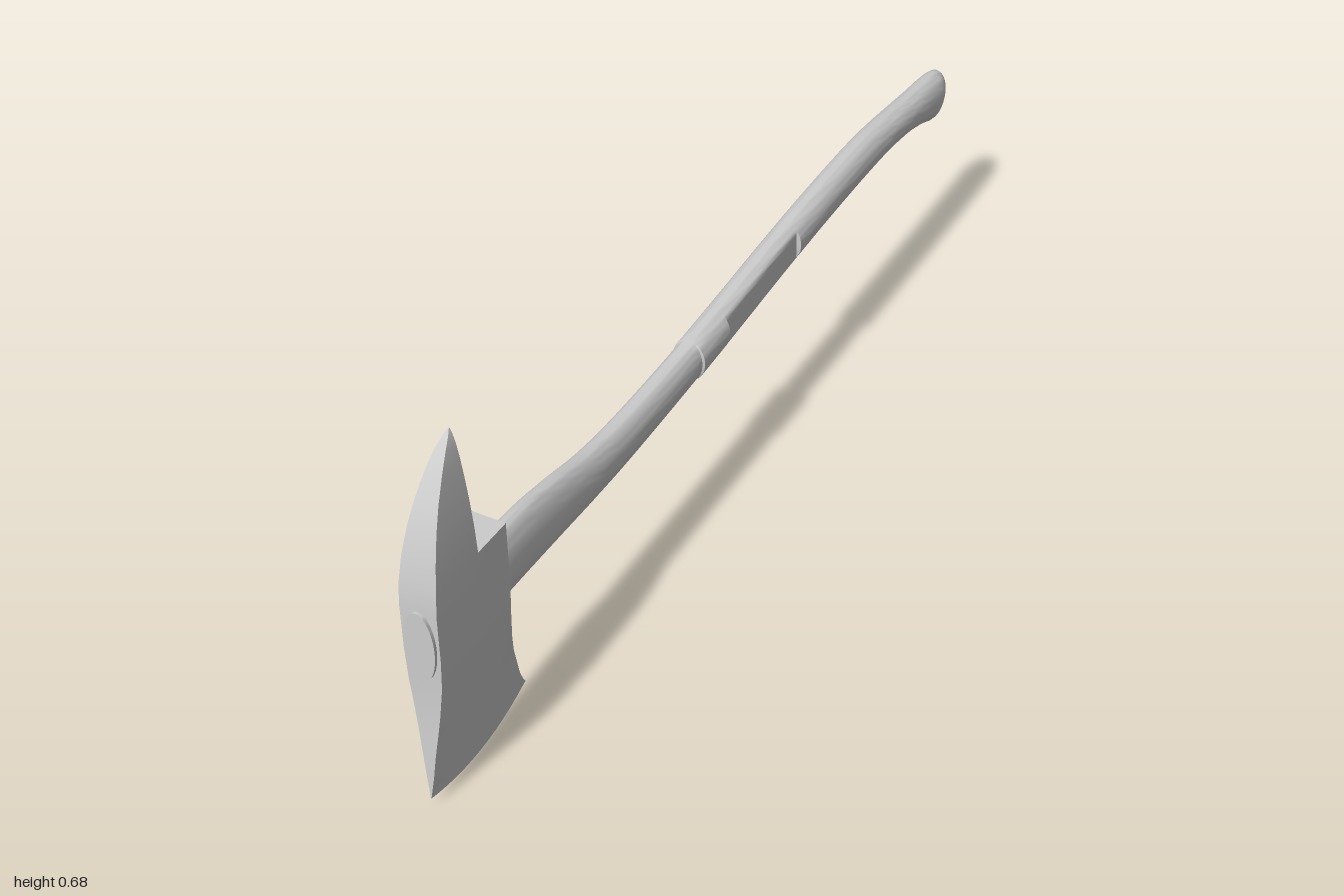
import * as THREE from 'three';
import { toCreasedNormals } from 'three/addons/utils/BufferGeometryUtils.js';

const material = new THREE.MeshStandardMaterial({ color: 0xcccccc });

// Skins a list of equal-length closed rings and caps both ends.
function loft(rings, crease) {
  const n = rings[0].length;
  const last = rings.length - 1;
  const points = rings.flat();
  const index = [];
  for (let r = 0; r < last; r++) {
    for (let i = 0; i < n; i++) {
      const a = r * n + i, b = r * n + (i + 1) % n;
      index.push(a, b, b + n, a, b + n, a + n);
    }
  }
  for (const r of [0, last]) {
    const centre = new THREE.Vector3();
    rings[r].forEach((p) => centre.addScaledVector(p, 1 / n));
    const c = points.push(centre) - 1;
    for (let i = 0; i < n; i++) {
      const a = r * n + i, b = r * n + (i + 1) % n;
      if (r === 0) index.push(c, b, a);
      else index.push(c, a, b);
    }
  }
  const geometry = new THREE.BufferGeometry().setFromPoints(points);
  geometry.setIndex(index);
  return toCreasedNormals(geometry, crease);
}

function createHead() {
  // Levels from cutting edge to pick tip: y, front z, back z, half thickness
  const levels = [
    [0, 1.0, 0.715, 0.0008], [0.02, 0.998, 0.725, 0.003], [0.05, 0.996, 0.738, 0.007],
    [0.1, 0.993, 0.752, 0.012], [0.15, 0.989, 0.767, 0.018], [0.2, 0.986, 0.777, 0.024],
    [0.26, 0.984, 0.785, 0.031], [0.32, 0.984, 0.786, 0.034], [0.41, 0.984, 0.786, 0.034],
    [0.45, 0.98, 0.786, 0.034], [0.45, 0.98, 0.865, 0.034], [0.5, 0.97, 0.865, 0.031],
    [0.55, 0.954, 0.865, 0.026], [0.59, 0.936, 0.865, 0.021], [0.63, 0.912, 0.865, 0.015],
    [0.655, 0.893, 0.865, 0.01], [0.672, 0.876, 0.865, 0.005], [0.68, 0.867, 0.865, 0.001],
  ];
  const columns = 12;
  // Curve of the cutting edge, fading out up the blade
  const bend = (u) => (u < 0.45 ? 0.02 * ((0.45 - u) / 0.45) ** 2 : 0.035 * ((u - 0.45) / 0.55) ** 2);
  const rings = levels.map(([y, front, back, half]) => {
    const side = [];
    for (let i = 0; i <= columns; i++) {
      const u = i / columns;
      const lift = bend(u) * Math.max(0, 1 - y / 0.2);
      side.push(new THREE.Vector3(half, y + lift, THREE.MathUtils.lerp(front, back, u)));
    }
    const mirrored = side.map((p) => new THREE.Vector3(-p.x, p.y, p.z)).reverse();
    return [...side, ...mirrored];
  });
  return loft(rings, 0.5);
}

function createHandle() {
  // z, top y, bottom y along the shaft
  const profile = [
    [0.99, 0.41, 0.27], [0.785, 0.41, 0.27], [0.7, 0.409, 0.27], [0.6, 0.395, 0.27],
    [0.5, 0.376, 0.27], [0.4, 0.368, 0.272], [0.2, 0.37, 0.283], [0, 0.383, 0.297],
    [-0.2, 0.4, 0.314], [-0.4, 0.413, 0.327], [-0.6, 0.418, 0.334], [-0.7, 0.412, 0.334],
    [-0.8, 0.403, 0.324], [-0.87, 0.398, 0.308],
  ];
  const curve = new THREE.CatmullRomCurve3(profile.map((p) => new THREE.Vector3(...p)));
  const samples = curve.getPoints(52);

  // Extra stations make the collar and the flattened grip end sharply
  for (const step of [0.13, 0.03, -0.26]) {
    for (const z of [step + 0.001, step - 0.001]) {
      const k = samples.findIndex((p) => p.x < z);
      const a = samples[k - 1], b = samples[k];
      samples.splice(k, 0, a.clone().lerp(b, (a.x - z) / (a.x - b.x)));
    }
  }

  // Section: top z, top y, bottom z, bottom y, half width, side limit
  const sections = samples.map(({ x: z, y: top, z: bottom }) => [
    z, top, z, bottom, z > 0.13 ? 0.0285 : 0.033, z < 0.03 && z > -0.26 ? 0.024 : 1,
  ]);
  // Slanted, rounded butt
  sections.push(
    [-0.93, 0.395, -0.9, 0.298, 0.033, 1], [-0.965, 0.391, -0.925, 0.289, 0.033, 1],
    [-0.985, 0.387, -0.945, 0.284, 0.031, 1], [-0.995, 0.379, -0.959, 0.286, 0.027, 1],
    [-1, 0.365, -0.975, 0.3, 0.019, 1], [-0.999, 0.35, -0.986, 0.318, 0.009, 1],
  );

  const sides = 40;
  const rings = sections.map(([zt, yt, zb, yb, half, limit]) =>
    Array.from({ length: sides }, (_, i) => {
      const a = (i / sides) * Math.PI * 2;
      const t = (1 + Math.sin(a)) / 2;
      const x = THREE.MathUtils.clamp(-half * Math.cos(a), -limit, limit);
      return new THREE.Vector3(x, THREE.MathUtils.lerp(yb, yt, t), THREE.MathUtils.lerp(zb, zt, t));
    }));
  return loft(rings, 0.7);
}

export function createModel() {
  const group = new THREE.Group();
  group.name = 'pickHeadAxe';
  const parts = { axeHead: createHead(), handle: createHandle() };
  for (const [name, geometry] of Object.entries(parts)) {
    const mesh = new THREE.Mesh(geometry, material);
    mesh.name = name;
    group.add(mesh);
  }
  return group;
}
